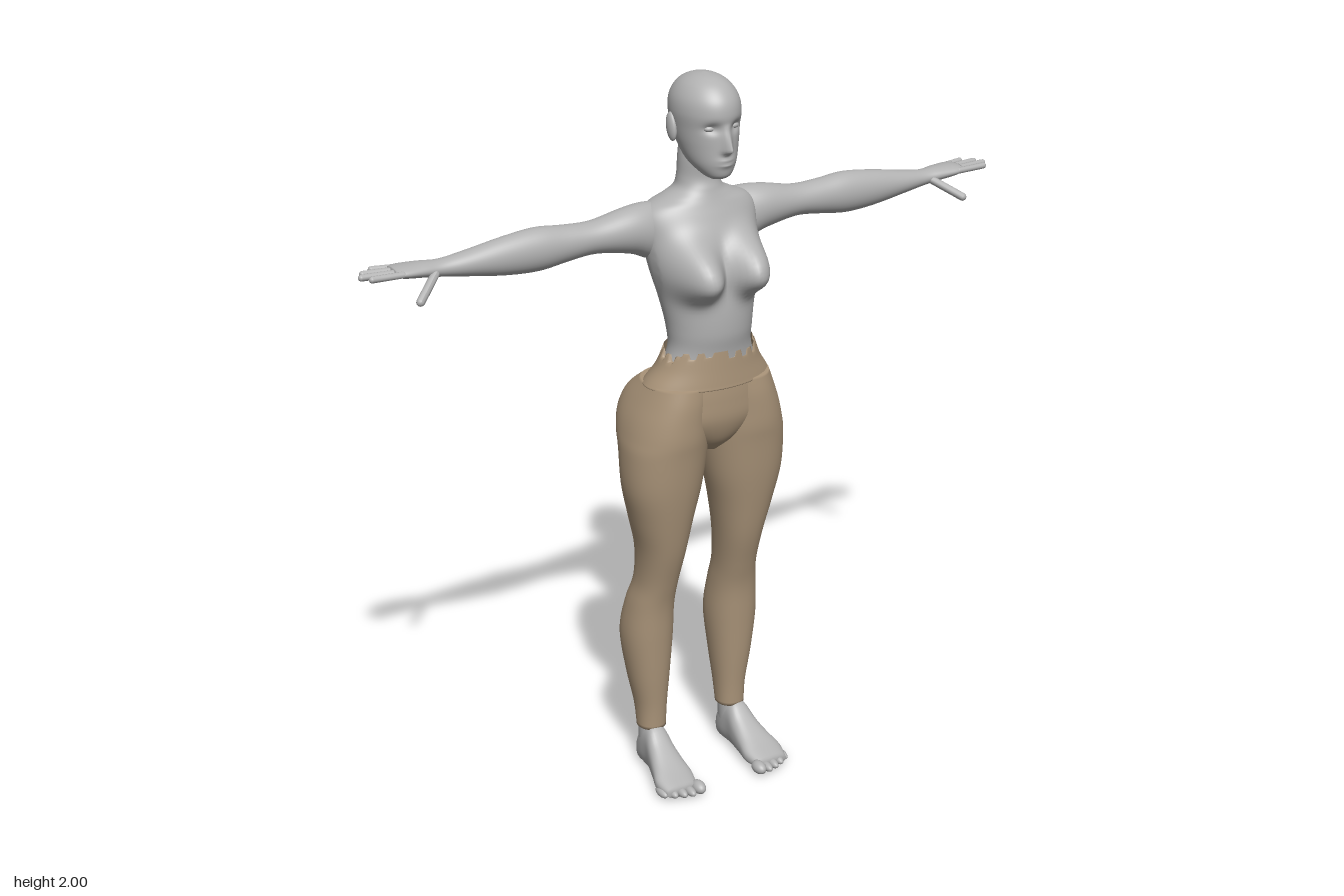
import * as THREE from 'three';

const skin = new THREE.MeshStandardMaterial({ color: 0xb2b2b2 });
skin.name = 'grey skin';
const cloth = new THREE.MeshStandardMaterial({ color: 0xab957a, side: THREE.DoubleSide });
cloth.name = 'tan cloth';

const gauss = (d, s) => Math.exp(-(d * d) / (s * s));

// Directions in which a loft can run: t along it, u and v across it
const UP = (t, u, v) => new THREE.Vector3(u, t, v);
const SIDE = (t, u, v) => new THREE.Vector3(t, v, u);
const BACK = (t, u, v) => new THREE.Vector3(u, v, -t);

// Smooth spline through rows of numbers
function splineRow(rows, i, f) {
  const [a, b, c, d] = [i - 1, i, i + 1, i + 2].map(k => rows[Math.min(Math.max(k, 0), rows.length - 1)]);
  return b.map((_, n) => THREE.MathUtils.clamp(
    b[n] + 0.5 * f * (c[n] - a[n] + f * (2 * a[n] - 5 * b[n] + 4 * c[n] - d[n] + f * (3 * (b[n] - c[n]) + d[n] - a[n]))),
    Math.min(b[n], c[n]) - 0.01, Math.max(b[n], c[n]) + 0.01));
}

// Skin over oval rings [t, centre u, radius u, min v, max v]
function loft(rings, place, { segs = 40, steps = 5, power = 1, deform, caps = true } = {}) {
  const rows = [];
  for (let i = 0; i < rings.length - 1; i++)
    for (let s = 0; s < steps; s++) rows.push(splineRow(rings, i, s / steps));
  rows.push(rings[rings.length - 1]);
  const pos = [], index = [];
  const soft = n => Math.sign(n) * Math.abs(n) ** power;
  for (const [t, cu, ru, v0, v1] of rows) {
    for (let j = 0; j < segs; j++) {
      const a = (j / segs) * Math.PI * 2;
      const p = place(t, cu + ru * soft(Math.cos(a)), (v0 + v1) / 2 + (v1 - v0) / 2 * soft(Math.sin(a)));
      if (deform) deform(p, a);
      pos.push(p.x, p.y, p.z);
    }
  }
  for (let i = 0; i < rows.length - 1; i++)
    for (let j = 0; j < segs; j++) {
      const a = i * segs + j, b = i * segs + (j + 1) % segs;
      index.push(a, a + segs, b, b, a + segs, b + segs);
    }
  if (caps) for (const end of [0, rows.length - 1]) {
    const [t, cu, , v0, v1] = rows[end], hub = pos.length / 3;
    pos.push(...place(t, cu, (v0 + v1) / 2).toArray());
    for (let j = 0; j < segs; j++) {
      const a = end * segs + j, b = end * segs + (j + 1) % segs;
      index.push(...(end ? [hub, b, a] : [hub, a, b]));
    }
  }
  const geo = new THREE.BufferGeometry();
  geo.setAttribute('position', new THREE.Float32BufferAttribute(pos, 3));
  geo.setIndex(index);
  geo.computeVertexNormals();
  return geo;
}

function ellipsoid(x, y, z, rx, ry, rz, tilt = 0) {
  return new THREE.SphereGeometry(1, 24, 16).scale(rx, ry, rz).rotateX(tilt).translate(x, y, z);
}

// Rounded finger between two points
function finger(a, b, r) {
  const from = new THREE.Vector3(...a), to = new THREE.Vector3(...b), dir = to.clone().sub(from);
  const geo = new THREE.CapsuleGeometry(r, dir.length() - r, 5, 12);
  geo.applyQuaternion(new THREE.Quaternion().setFromUnitVectors(new THREE.Vector3(0, 1, 0), dir.normalize()));
  return geo.translate(...from.add(to).multiplyScalar(0.5).toArray());
}

function mirrored(geo) {
  const copy = geo.clone().scale(-1, 1, 1);
  const ix = copy.index;
  for (let i = 0; i < ix.count; i += 3) {
    const k = ix.getX(i);
    ix.setX(i, ix.getX(i + 1));
    ix.setX(i + 1, k);
  }
  copy.computeVertexNormals();
  return copy;
}

// Face relief: nose, eye sockets, lips and chin
function shapeFace(p) {
  if (p.z < 0.02) return;
  const { x, y } = p;
  const bridge = y > 1.825 ? Math.max(0, 1 - (y - 1.825) / 0.065) : gauss(y - 1.825, 0.011);
  p.z += 0.03 * gauss(x, 0.012) * bridge;
  p.z -= 0.012 * gauss(Math.abs(x) - 0.034, 0.018) * gauss(y - 1.878, 0.013);
  p.z += 0.009 * gauss(x, 0.022) * gauss(y - 1.79, 0.011);
  p.z -= 0.007 * gauss(x, 0.019) * gauss(y - 1.79, 0.0035);
}

// Bust and spine furrow
function shapeTorso(p) {
  const { x, y } = p;
  if (p.z > 0) {
    const dx = (Math.abs(x) - 0.08) / 0.066, dy = (y - 1.5) / (y > 1.5 ? 0.085 : 0.066);
    p.z += 0.09 * Math.exp(-1.3 * (dx * dx + dy * dy) ** 1.4);
  } else {
    p.z += 0.013 * gauss(x, 0.022) * gauss(y - 1.46, 0.14);
  }
}

// Torn upper edge of the waistband
const tears = [1.292, 1.275, 1.29, 1.28, 1.262, 1.28, 1.264, 1.285, 1.27, 1.292, 1.292, 1.28];
function tearEdge(p, a) {
  p.y = Math.min(p.y, p.z < -0.03 ? 1.29 : tears[Math.floor(a / (Math.PI * 2) * 36) % tears.length]);
}

export function createModel() {
  const model = new THREE.Group();
  const add = (name, geo, mat = skin) => {
    const mesh = new THREE.Mesh(geo, mat);
    mesh.name = name;
    model.add(mesh);
  };
  const pair = (name, geo, mat) => {
    add('left' + name, geo, mat);
    add('right' + name, mirrored(geo), mat);
  };

  // Head
  add('head', loft([
    [1.744, 0, 0.022, 0.045, 0.088], [1.755, 0, 0.038, 0.01, 0.102], [1.785, 0, 0.06, -0.045, 0.108],
    [1.83, 0, 0.074, -0.085, 0.108], [1.87, 0, 0.081, -0.103, 0.108], [1.91, 0, 0.085, -0.112, 0.113],
    [1.945, 0, 0.079, -0.106, 0.105], [1.975, 0, 0.06, -0.083, 0.08], [1.993, 0, 0.033, -0.046, 0.045],
    [2.0, 0, 0.003, -0.004, 0.004],
  ], UP, { segs: 96, steps: 9, deform: shapeFace }));
  pair('Eye', ellipsoid(0.034, 1.877, 0.08, 0.016, 0.009, 0.013));
  pair('Ear', ellipsoid(0.084, 1.866, -0.02, 0.011, 0.037, 0.02, -0.2));

  // Neck and torso
  add('torso', loft([
    [1.2, 0, 0.15, -0.08, 0.1], [1.28, 0, 0.118, -0.062, 0.109], [1.34, 0, 0.118, -0.072, 0.119],
    [1.42, 0, 0.132, -0.095, 0.117], [1.5, 0, 0.15, -0.118, 0.1], [1.58, 0, 0.162, -0.128, 0.075],
    [1.63, 0, 0.165, -0.127, 0.055], [1.66, 0, 0.145, -0.118, 0.042], [1.68, 0, 0.1, -0.104, 0.034],
    [1.7, 0, 0.066, -0.093, 0.027], [1.73, 0, 0.057, -0.083, 0.018], [1.78, 0, 0.055, -0.08, 0.022],
    [1.83, 0, 0.05, -0.075, 0.02],
  ], UP, { segs: 80, steps: 7, deform: shapeTorso }));

  // Arms and hands
  pair('Arm', loft([
    [0.06, -0.06, 0.045, 1.56, 1.65], [0.13, -0.053, 0.058, 1.52, 1.668], [0.2, -0.045, 0.054, 1.545, 1.667],
    [0.3, -0.045, 0.043, 1.562, 1.648], [0.38, -0.045, 0.042, 1.555, 1.65], [0.46, -0.045, 0.044, 1.545, 1.657],
    [0.55, -0.045, 0.04, 1.55, 1.648], [0.65, -0.048, 0.034, 1.565, 1.63], [0.72, -0.05, 0.028, 1.576, 1.62],
    [0.77, -0.053, 0.035, 1.583, 1.622], [0.82, -0.055, 0.041, 1.59, 1.622], [0.845, -0.055, 0.036, 1.598, 1.618],
  ], SIDE));
  [[-0.086, -0.092, 0.89], [-0.066, -0.07, 0.922], [-0.044, -0.046, 0.935], [-0.023, -0.02, 0.918]]
    .forEach(([z0, z1, tip], i) => pair('Finger' + (i + 1), finger([0.825, 1.607, z0], [tip - 0.004, 1.61, z1], 0.0085)));
  pair('Thumb', finger([0.74, 1.595, -0.03], [0.812, 1.546, 0.028], 0.011));

  // Ankles and feet
  pair('Ankle', loft([
    [0.04, 0.132, 0.033, -0.115, -0.03], [0.1, 0.131, 0.034, -0.114, -0.032], [0.17, 0.129, 0.034, -0.113, -0.042],
  ], UP));
  pair('Foot', loft([
    [-0.128, 0.147, 0.046, 0.004, 0.036], [-0.08, 0.145, 0.058, 0, 0.056], [-0.04, 0.141, 0.051, 0, 0.078],
    [0, 0.137, 0.043, 0, 0.105], [0.04, 0.134, 0.036, 0, 0.138], [0.08, 0.132, 0.034, 0, 0.128],
    [0.11, 0.132, 0.027, 0.001, 0.085], [0.125, 0.132, 0.012, 0.015, 0.05],
  ], BACK, { power: 0.8 }));
  for (let i = 0; i < 5; i++) {
    const r = i ? 0.0125 : 0.018;
    pair('Toe' + (i + 1), ellipsoid(0.102 + i * 0.0235 - (i ? 0 : 0.003), r + 0.003, 0.133 - i * i * 0.0022, r, r, 0.028));
  }

  // Leggings: legs with seat, pelvis and torn waistband
  pair('Legging', loft([
    [0.13, 0.129, 0.04, -0.117, -0.034], [0.2, 0.129, 0.044, -0.13, -0.03], [0.3, 0.133, 0.058, -0.15, -0.02],
    [0.42, 0.135, 0.07, -0.166, -0.01], [0.52, 0.132, 0.064, -0.145, 0], [0.6, 0.125, 0.057, -0.118, 0.02],
    [0.7, 0.122, 0.065, -0.108, 0.05], [0.8, 0.125, 0.085, -0.112, 0.072], [0.9, 0.125, 0.107, -0.117, 0.09],
    [1, 0.119, 0.115, -0.135, 0.103], [1.05, 0.114, 0.114, -0.163, 0.11], [1.1, 0.108, 0.108, -0.173, 0.112],
    [1.15, 0.098, 0.098, -0.155, 0.112], [1.195, 0.087, 0.087, -0.1, 0.108],
  ], UP, { segs: 56, power: 0.92 }), cloth);
  add('pelvis', loft([
    [0.99, 0, 0.025, -0.05, 0.05], [1.03, 0, 0.1, -0.09, 0.088], [1.09, 0, 0.185, -0.115, 0.112],
    [1.15, 0, 0.187, -0.12, 0.116], [1.195, 0, 0.172, -0.1, 0.115],
  ], UP, { segs: 56 }), cloth);
  add('waistband', loft([
    [1.187, 0, 0.172, -0.1, 0.113], [1.189, 0, 0.18, -0.11, 0.121], [1.2, 0, 0.174, -0.105, 0.121],
    [1.24, 0, 0.147, -0.083, 0.119], [1.293, 0, 0.125, -0.069, 0.117],
  ], UP, { segs: 180, steps: 6, deform: tearEdge, caps: false }), cloth);

  return model;
}
